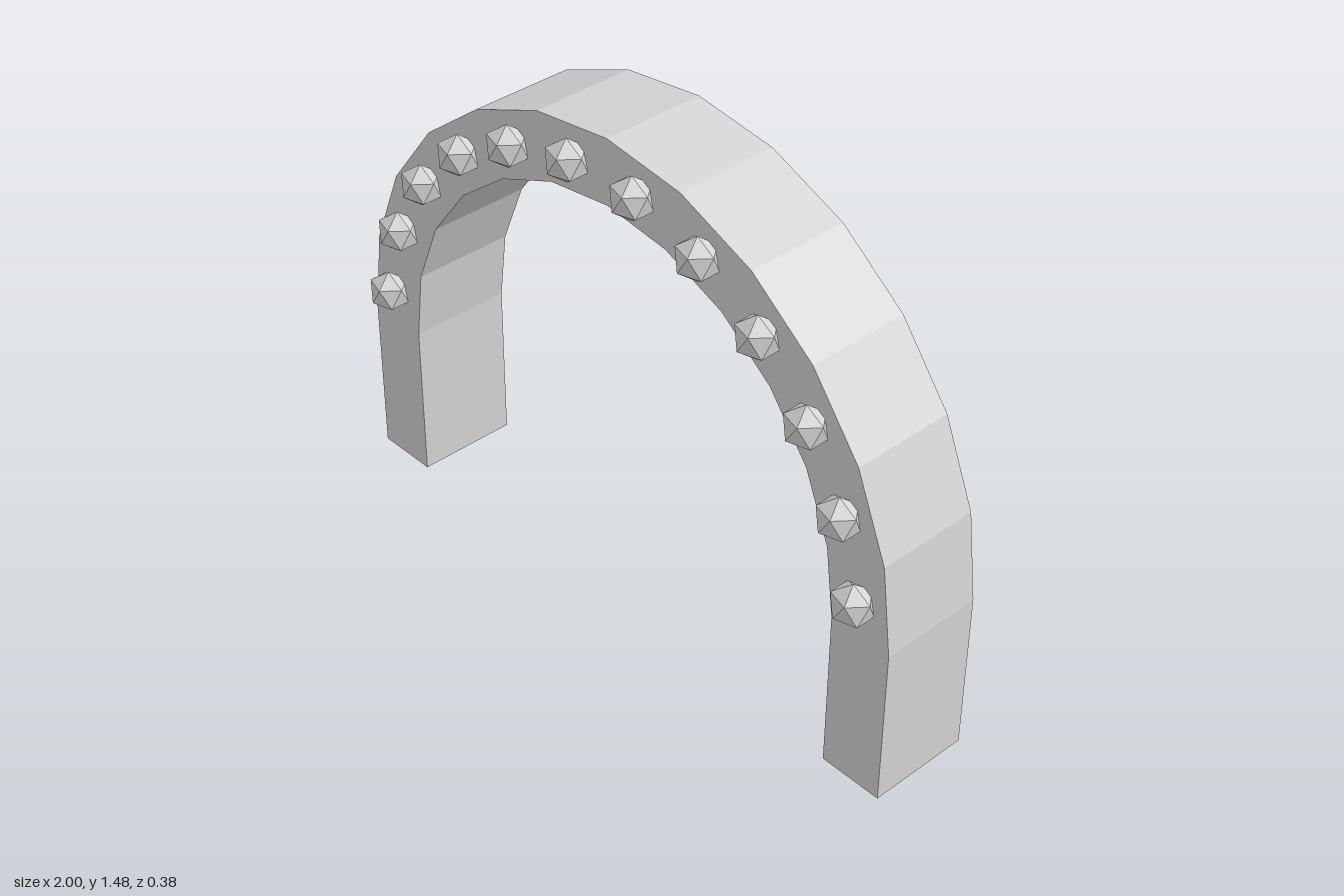
import * as THREE from 'three';
import { ConvexGeometry } from 'three/addons/geometries/ConvexGeometry.js';

const SPRING = 0.48, OUTER = 1, INNER = 0.81, SEGMENTS = 12;
const BACK = -0.19, DEPTH = 0.305;

// Low-poly stud: an icosahedron standing on one of its points
function studGeometry(r) {
  const points = [new THREE.Vector3(0, r, 0), new THREE.Vector3(0, -r, 0)];
  const ringY = r / Math.sqrt(5);
  for (let i = 0; i < 10; i++) {
    const a = (i * Math.PI) / 5;
    points.push(new THREE.Vector3(
      2 * ringY * Math.cos(a), i % 2 ? -ringY : ringY, 2 * ringY * Math.sin(a)));
  }
  return new ConvexGeometry(points);
}

// Faceted half ring on two straight legs
function archGeometry() {
  const onArc = (r, i) => {
    const a = (i / SEGMENTS) * Math.PI;
    return new THREE.Vector2(r * Math.cos(a), SPRING + r * Math.sin(a));
  };
  const outline = [new THREE.Vector2(OUTER, 0)];
  for (let i = 0; i <= SEGMENTS; i++) outline.push(onArc(OUTER, i));
  outline.push(new THREE.Vector2(-OUTER, 0), new THREE.Vector2(-INNER, 0));
  for (let i = SEGMENTS; i >= 0; i--) outline.push(onArc(INNER, i));
  outline.push(new THREE.Vector2(INNER, 0));
  const geometry = new THREE.ExtrudeGeometry(new THREE.Shape(outline), {
    depth: DEPTH, bevelEnabled: false,
  });
  return geometry.translate(0, 0, BACK);
}

export function createModel() {
  const model = new THREE.Group();
  model.name = 'studdedArch';
  const grey = new THREE.MeshStandardMaterial({ color: 0xd4d4d4 });
  grey.name = 'light grey';
  grey.flatShading = true;

  const arch = new THREE.Mesh(archGeometry(), grey);
  arch.name = 'arch';
  model.add(arch);

  // One stud in the middle of each arc segment, sunk into the front face
  const studs = new THREE.Group();
  studs.name = 'studs';
  const geometry = studGeometry(0.0635);
  for (let i = 0; i < SEGMENTS; i++) {
    const a = ((i + 0.5) / SEGMENTS) * Math.PI;
    const stud = new THREE.Mesh(geometry, grey);
    stud.name = 'stud';
    stud.position.set(0.905 * Math.cos(a), SPRING + 0.905 * Math.sin(a), 0.142);
    stud.scale.z = 0.89;
    studs.add(stud);
  }
  model.add(studs);
  return model;
}
